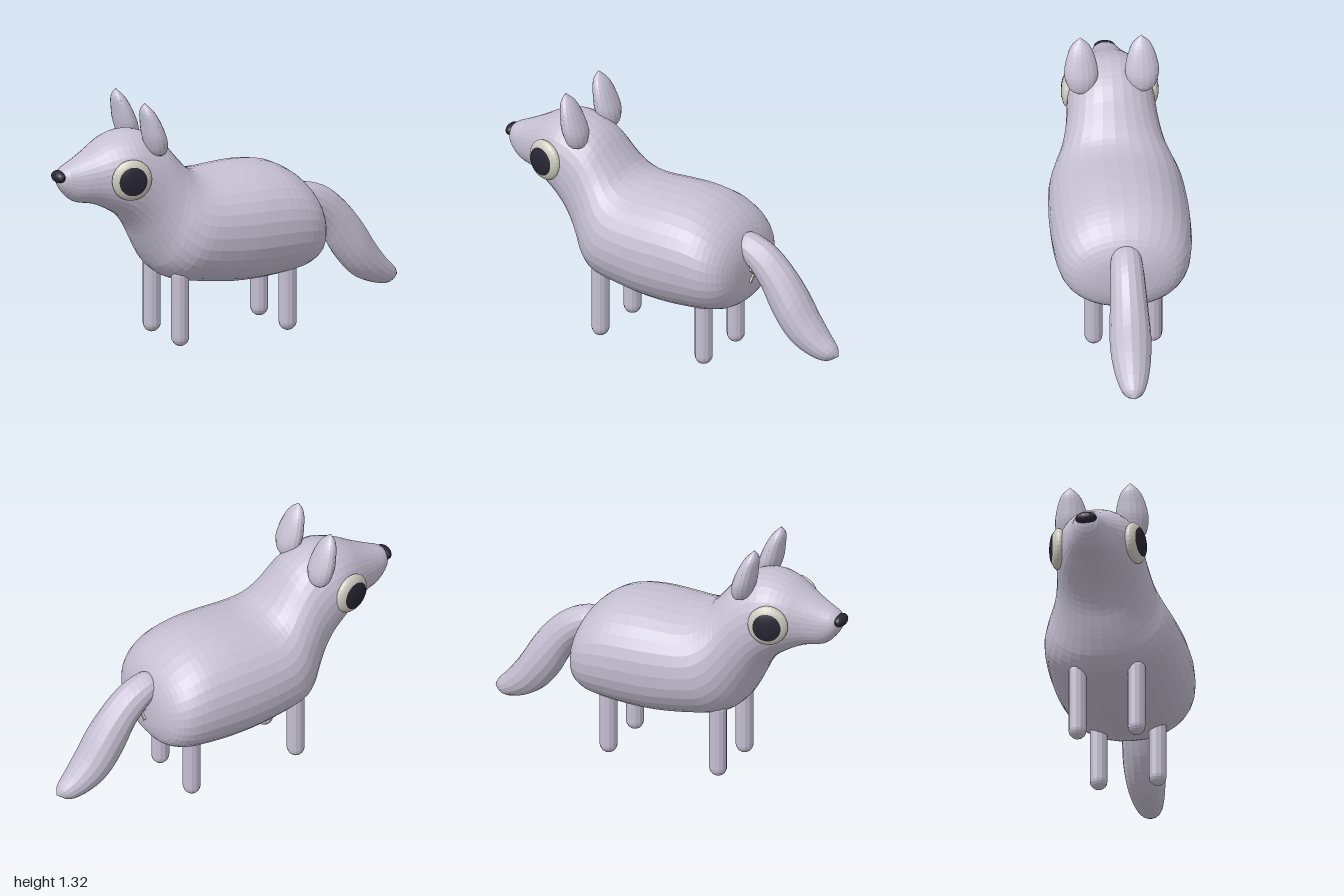
import * as THREE from 'three';

// Lofts elliptical rings given as [topX, topY, bottomX, bottomY, halfWidth].
function loft(rings, steps, sides, power = 1) {
  const tops = new THREE.CatmullRomCurve3(rings.map(r => new THREE.Vector3(r[0], r[1], r[4])), false, 'catmullrom');
  const bottoms = new THREE.CatmullRomCurve3(rings.map(r => new THREE.Vector3(r[2], r[3], 0)), false, 'catmullrom');
  const round = v => Math.sign(v) * Math.pow(Math.abs(v), power);
  const positions = [], index = [];
  for (let i = 0; i <= steps; i++) {
    const t = tops.getPoint(i / steps), b = bottoms.getPoint(i / steps);
    for (let j = 0; j < sides; j++) {
      const a = (j / sides) * Math.PI * 2;
      const c = round(Math.cos(a)) / 2, s = round(Math.sin(a));
      positions.push((t.x + b.x) / 2 + (t.x - b.x) * c, (t.y + b.y) / 2 + (t.y - b.y) * c, t.z * s);
      if (i === steps) continue;
      const k = (j + 1) % sides, p = i * sides, q = p + sides;
      index.push(p + j, p + k, q + j, p + k, q + k, q + j);
    }
  }
  const geometry = new THREE.BufferGeometry();
  geometry.setAttribute('position', new THREE.Float32BufferAttribute(positions, 3));
  geometry.setIndex(index);
  geometry.computeVertexNormals();
  return geometry;
}

export function createModel() {
  const model = new THREE.Group();
  model.name = 'fox';
  const material = (name, color) => {
    const m = new THREE.MeshStandardMaterial({ color, flatShading: true });
    m.name = name;
    return m;
  };
  const fur = material('lavenderFur', 0xc5bfd2);
  const cream = material('cream', 0xcdcbbe);
  const dark = material('darkNavy', 0x272633);
  const add = (name, geometry, mat, x = 0, y = 0, z = 0, parent = model) => {
    const mesh = new THREE.Mesh(geometry, mat);
    mesh.name = name;
    mesh.position.set(x, y, z);
    parent.add(mesh);
    return mesh;
  };

  // Snout, head, neck and torso in one skin, from nose to rump
  add('body', loft([
    [-0.985, 0.94, -0.985, 0.94, 0],
    [-0.95, 0.985, -0.955, 0.87, 0.06],
    [-0.88, 1.02, -0.89, 0.805, 0.095],
    [-0.80, 1.06, -0.79, 0.782, 0.135],
    [-0.70, 1.115, -0.70, 0.74, 0.185],
    [-0.60, 1.143, -0.62, 0.685, 0.218],
    [-0.50, 1.13, -0.56, 0.61, 0.228],
    [-0.40, 1.075, -0.52, 0.53, 0.24],
    [-0.31, 0.97, -0.48, 0.455, 0.268],
    [-0.24, 0.90, -0.43, 0.385, 0.31],
    [-0.15, 0.872, -0.34, 0.328, 0.342],
    [0.00, 0.878, -0.10, 0.285, 0.358],
    [0.12, 0.88, 0.08, 0.275, 0.36],
    [0.25, 0.86, 0.25, 0.285, 0.352],
    [0.35, 0.81, 0.37, 0.305, 0.33],
    [0.42, 0.745, 0.445, 0.345, 0.28],
    [0.46, 0.67, 0.475, 0.41, 0.2],
    [0.477, 0.60, 0.482, 0.48, 0.1],
    [0.482, 0.54, 0.482, 0.54, 0],
  ], 54, 32, 0.93), fur);

  // Drooping tail
  add('tail', loft([
    [0.40, 0.65, 0.40, 0.65, 0],
    [0.43, 0.717, 0.44, 0.58, 0.07],
    [0.50, 0.715, 0.50, 0.53, 0.085],
    [0.60, 0.67, 0.565, 0.44, 0.092],
    [0.70, 0.58, 0.62, 0.33, 0.1],
    [0.78, 0.475, 0.69, 0.235, 0.107],
    [0.85, 0.36, 0.76, 0.175, 0.1],
    [0.92, 0.265, 0.85, 0.135, 0.08],
    [0.975, 0.205, 0.93, 0.123, 0.05],
    [0.995, 0.16, 0.995, 0.16, 0],
  ], 27, 16), fur);

  // Small crossed mark under the tail
  for (const side of [1, -1]) {
    const bar = add('underTailMark', new THREE.BoxGeometry(0.016, 0.1, 0.014), cream, 0.484, 0.5, 0);
    bar.rotation.x = side * Math.PI / 4;
  }

  // Nose
  add('nose', new THREE.SphereGeometry(1, 16, 10), dark, -0.966, 0.944, 0).scale.set(0.034, 0.032, 0.056);

  // Ears
  const earGeometry = loft([
    [-0.48, 1.025, -0.48, 1.025, 0],
    [-0.525, 1.055, -0.44, 1.045, 0.06],
    [-0.555, 1.13, -0.434, 1.11, 0.086],
    [-0.567, 1.205, -0.462, 1.19, 0.078],
    [-0.573, 1.275, -0.502, 1.265, 0.05],
    [-0.553, 1.318, -0.553, 1.318, 0],
  ], 18, 16);

  // Eye dome and pupil cap, bulging along +y before turning outward
  const pupilAngle = Math.asin(0.7);
  for (const side of [1, -1]) {
    const label = side > 0 ? 'left' : 'right';
    add(label + 'Ear', earGeometry, fur, 0, 0, side * 0.156);

    const eye = new THREE.Group();
    eye.name = label + 'Eye';
    eye.position.set(-0.65, 0.932, side * 0.2);
    eye.rotation.set(side * Math.PI / 2, 0, side * 0.25, 'YXZ');
    eye.rotation.set(0, -side * 0.25, 0);
    model.add(eye);
    const rim = add('eyeRim', new THREE.SphereGeometry(1, 28, 14), cream, 0, 0, 0, eye);
    rim.scale.set(0.105, 0.042, 0.108);
    rim.rotation.x = side * Math.PI / 2;
    const pupil = add('pupil', new THREE.SphereGeometry(1, 28, 6, 0, Math.PI * 2, 0, pupilAngle), dark, 0, 0, side * 0.003, eye);
    pupil.scale.set(0.105, 0.042, 0.108);
    pupil.rotation.x = side * Math.PI / 2;

    // Legs
    for (const [part, x] of [['FrontLeg', -0.345], ['BackLeg', 0.278]]) {
      add(label + part, new THREE.CapsuleGeometry(0.046, 0.33, 5, 12), fur, x, 0.211, side * 0.153);
    }
  }
  return model;
}
